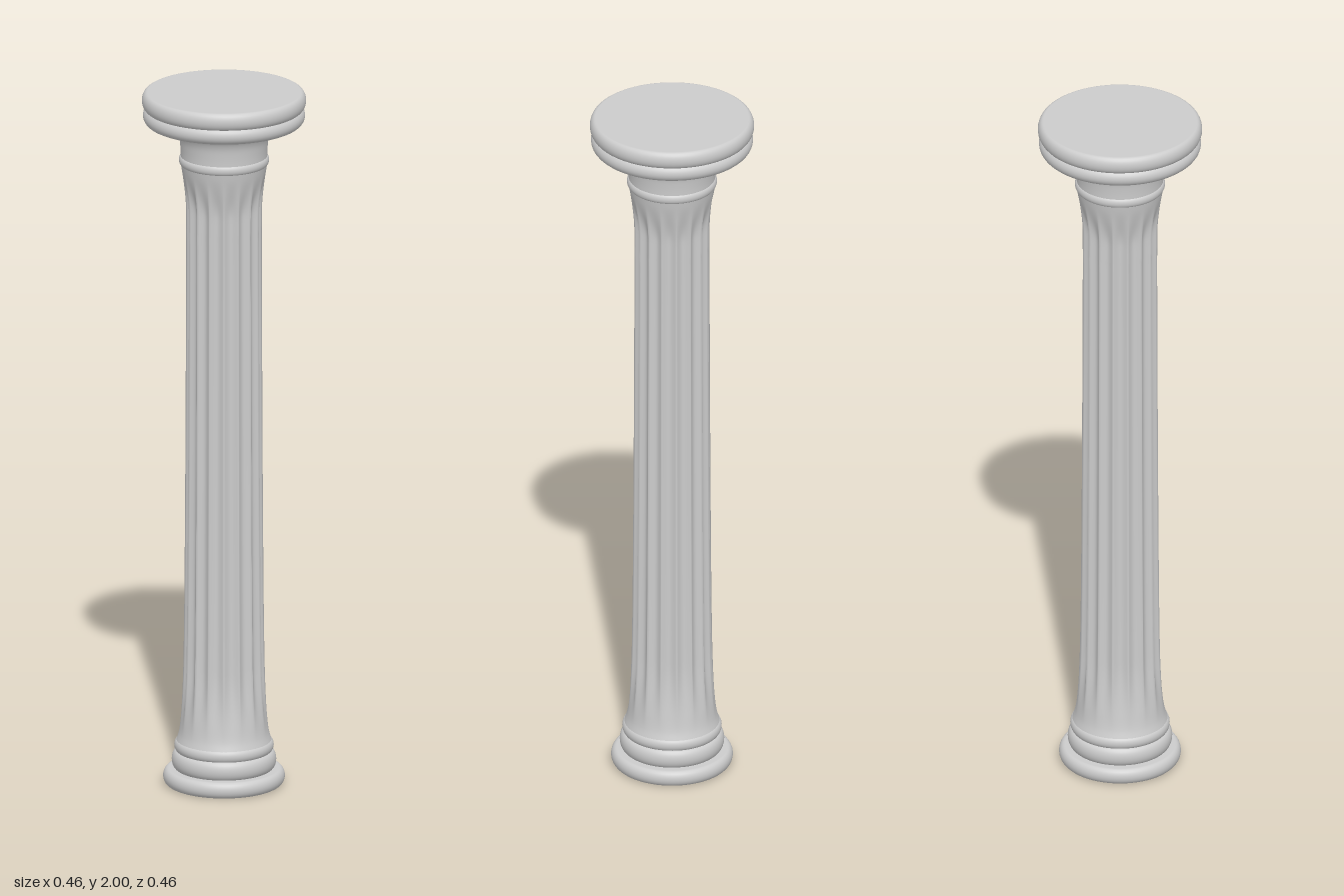
import * as THREE from 'three';
import { mergeVertices } from 'three/addons/utils/BufferGeometryUtils.js';

const SEGMENTS = 64;
const FLUTES = 16;
const FLUTE_DEPTH = 0.012;

const material = new THREE.MeshStandardMaterial({ color: 0xcccccc });

function addMesh(group, name, geometry) {
  const mesh = new THREE.Mesh(geometry, material);
  mesh.name = name;
  group.add(mesh);
}

// Solid disc with a rounded rim, from y0 to y1
function roundedDisc(y0, y1, radius, rim) {
  const points = [new THREE.Vector2(0, y0)];
  const half = (y1 - y0) / 2;
  for (let i = 0; i <= 12; i++) {
    const a = -Math.PI / 2 + (Math.PI * i) / 12;
    points.push(new THREE.Vector2(radius - rim + rim * Math.cos(a), y0 + half + half * Math.sin(a)));
  }
  points.push(new THREE.Vector2(0, y1));
  return new THREE.LatheGeometry(points, SEGMENTS);
}

// Smooth turned profile through a few [radius, y] points
function smoothProfile(pairs, divisions) {
  const curve = new THREE.CatmullRomCurve3(pairs.map(([r, y]) => new THREE.Vector3(r, y, 0)), false, 'centripetal');
  return curve.getPoints(divisions).map((p) => new THREE.Vector2(p.x, p.y));
}

// Shaft whose flutes fade out towards both ends
function flutedShaft() {
  const profile = smoothProfile([
    [0.134, 0.12], [0.125, 0.15], [0.119, 0.2], [0.114, 0.3], [0.111, 0.45], [0.108, 0.8],
    [0.106, 1.2], [0.105, 1.6], [0.106, 1.68], [0.112, 1.74], [0.121, 1.8],
  ], 80);
  let geometry = new THREE.LatheGeometry(profile, FLUTES * 10);
  const pos = geometry.attributes.position;
  for (let i = 0; i < pos.count; i++) {
    const x = pos.getX(i), y = pos.getY(i), z = pos.getZ(i);
    const fade = THREE.MathUtils.smoothstep(y, 0.13, 0.34) * (1 - THREE.MathUtils.smoothstep(y, 1.66, 1.78));
    const scallop = Math.abs(Math.cos((Math.atan2(x, z) * FLUTES) / 2));
    const scale = 1 - (FLUTE_DEPTH * fade * scallop) / Math.hypot(x, z);
    pos.setXYZ(i, x * scale, y, z * scale);
  }
  // Weld the seam so the shading runs round without a break
  geometry.deleteAttribute('uv');
  geometry.deleteAttribute('normal');
  geometry = mergeVertices(geometry, 1e-5);
  geometry.computeVertexNormals();
  return geometry;
}

export function createModel() {
  const column = new THREE.Group();
  column.name = 'column';

  // Stepped base
  addMesh(column, 'baseLower', roundedDisc(0, 0.046, 0.169, 0.017));
  addMesh(column, 'baseMiddle', roundedDisc(0.044, 0.098, 0.145, 0.016));
  addMesh(column, 'baseUpper', roundedDisc(0.094, 0.13, 0.138, 0.013));

  addMesh(column, 'flutedShaft', flutedShaft());

  // Ring and flaring neck under the capital
  addMesh(column, 'neckRing', roundedDisc(1.79, 1.818, 0.125, 0.009));
  addMesh(column, 'neck', new THREE.LatheGeometry(smoothProfile([
    [0.12, 1.8], [0.121, 1.84], [0.125, 1.87], [0.135, 1.89], [0.155, 1.902], [0.2, 1.914],
  ], 24), SEGMENTS));

  // Capital of two stacked discs
  addMesh(column, 'capitalLower', roundedDisc(1.908, 1.957, 0.225, 0.022));
  addMesh(column, 'capitalUpper', roundedDisc(1.95, 2, 0.228, 0.016));

  return column;
}
